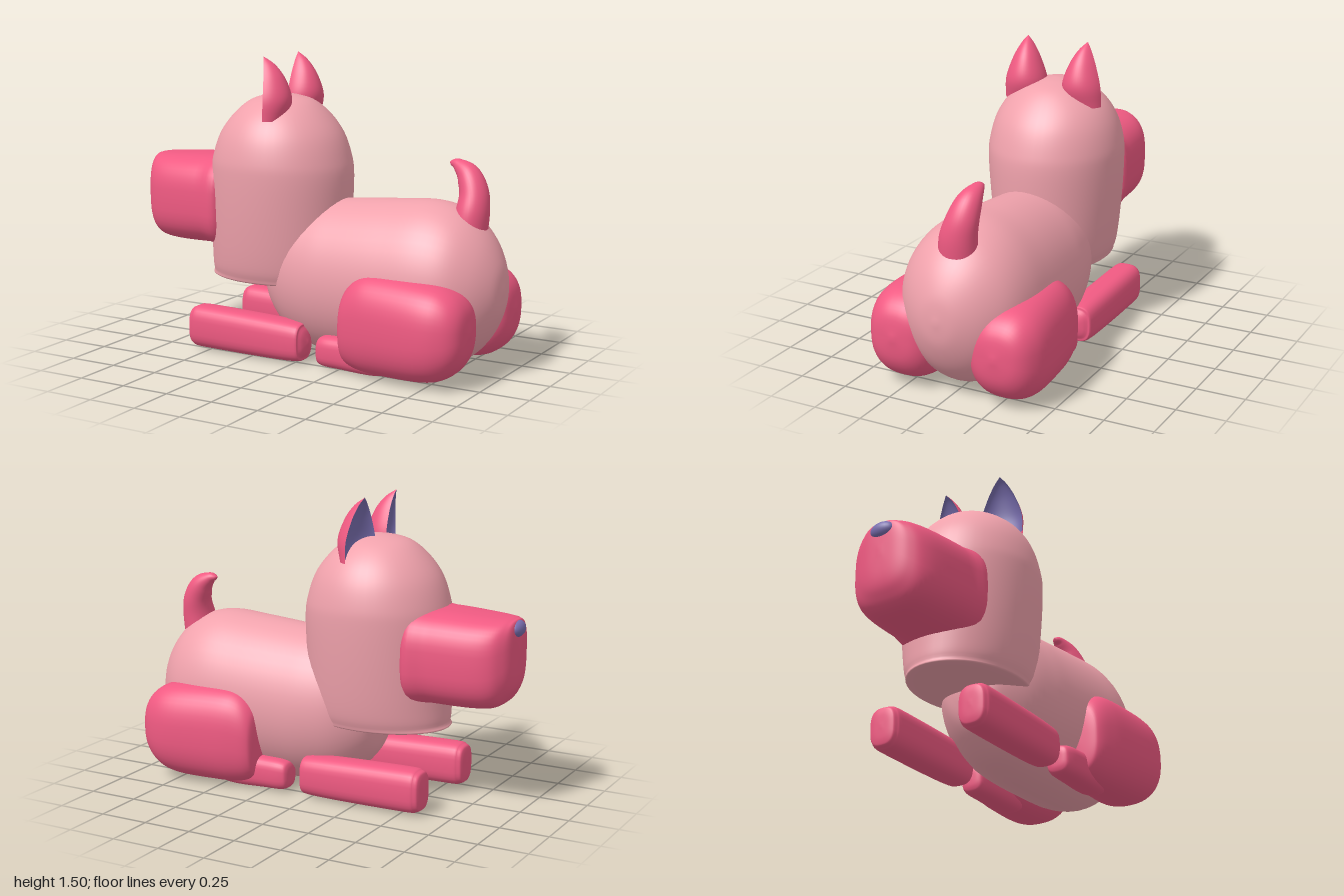
import * as THREE from 'three';
import { mergeVertices } from 'three/addons/utils/BufferGeometryUtils.js';

const material = (color, side = THREE.FrontSide) => new THREE.MeshStandardMaterial({ color, side });
const MID = -0.01; // z of the symmetry plane

// Smooth grid surface: fn(u, v) gives a point, u runs around and v along
function surface(fn, nu, nv) {
  const pos = [], index = [];
  for (let i = 0; i <= nv; i++)
    for (let j = 0; j <= nu; j++) pos.push(...fn(j / nu, i / nv));
  for (let i = 0; i < nv; i++)
    for (let j = 0; j < nu; j++) {
      const a = i * (nu + 1) + j, d = a + nu + 1;
      index.push(a, a + 1, d + 1, a, d + 1, d);
    }
  let g = new THREE.BufferGeometry();
  g.setAttribute('position', new THREE.Float32BufferAttribute(pos, 3));
  g.setIndex(index);
  g = mergeVertices(g, 1e-5);
  g.computeVertexNormals();
  return g;
}

// Curve through cross-section keys [position, centre1, centre2, radius1, radius2]
function sampler(keys) {
  const curve = (f) => new THREE.CatmullRomCurve3(keys.map(f), false, 'catmullrom', 0.5);
  const centre = curve((k) => new THREE.Vector3(k[0], k[1], k[2]));
  const radius = curve((k) => new THREE.Vector3(k[3], k[4], 0));
  return (t) => ({ c: centre.getPoint(t), r: radius.getPoint(t), tangent: centre.getTangent(t) });
}

const bend = (x, n) => Math.sign(x) * Math.abs(x) ** (2 / n);

// Superellipse loft; axis x uses (y, z) sections, axis y uses (z, x) sections
function loft(axis, keys, n = 2, segments = 48) {
  const at = sampler(keys);
  return surface((u, v) => {
    const { c, r } = at(v), a = u * Math.PI * 2;
    const p = c.y + Math.max(0, r.x) * bend(Math.cos(a), n);
    const q = c.z + Math.max(0, r.y) * bend(Math.sin(a), n);
    return axis === 'x' ? [c.x, p, q] : [q, c.x, p];
  }, segments, keys.length * 5);
}

export function createModel() {
  const model = new THREE.Group();
  const coat = material(0xf0a2ac), pink = material(0xf05a82);
  const pinkShell = material(0xf05a82, THREE.DoubleSide);
  const purple = material(0x7a6fb0, THREE.DoubleSide);
  const add = (name, geometry, mat, parent = model) => {
    const mesh = new THREE.Mesh(geometry, mat);
    mesh.name = name;
    parent.add(mesh);
    return mesh;
  };

  // Barrel body
  add('body', loft('x', [
    [-0.27, 0.42, MID, 0, 0], [-0.26, 0.42, MID, 0.12, 0.1], [-0.22, 0.42, MID, 0.23, 0.18],
    [-0.1, 0.42, MID, 0.345, 0.265], [0.05, 0.41, MID, 0.385, 0.305], [0.2, 0.41, MID, 0.4, 0.32],
    [0.45, 0.42, MID, 0.41, 0.335], [0.65, 0.43, MID, 0.41, 0.335], [0.8, 0.43, MID, 0.365, 0.3],
    [0.91, 0.43, MID, 0.265, 0.215], [0.98, 0.43, MID, 0.13, 0.105], [1, 0.43, MID, 0, 0],
  ]), coat);

  // Domed head with a flat underside
  add('head', loft('y', [
    [0.365, MID, -0.25, 0, 0], [0.37, MID, -0.25, 0.24, 0.33], [0.4, MID, -0.245, 0.28, 0.36],
    [0.5, MID, -0.24, 0.305, 0.367], [0.7, MID, -0.235, 0.328, 0.37], [0.9, MID, -0.23, 0.34, 0.37],
    [1.0, MID, -0.23, 0.335, 0.355], [1.11, MID, -0.23, 0.305, 0.315], [1.2, MID, -0.23, 0.25, 0.25],
    [1.27, MID, -0.23, 0.165, 0.17], [1.3, MID, -0.23, 0.08, 0.085], [1.31, MID, -0.23, 0, 0],
  ]), coat);

  // Boxy muzzle and nose
  add('muzzle', loft('x', [
    [-0.982, 0.8, MID, 0, 0], [-0.975, 0.8, MID, 0.14, 0.09], [-0.95, 0.775, MID, 0.185, 0.15],
    [-0.9, 0.75, MID, 0.215, 0.2], [-0.8, 0.745, MID, 0.226, 0.23], [-0.6, 0.75, MID, 0.23, 0.252],
    [-0.47, 0.75, MID, 0.22, 0.25], [-0.42, 0.75, MID, 0, 0],
  ], 2.9), pink);
  const nose = add('nose', new THREE.SphereGeometry(1, 24, 16), purple);
  nose.scale.set(0.035, 0.041, 0.066);
  nose.position.set(-0.965, 0.914, MID);

  // Cupped ears: keys are [height, rim offset, -, half width, depth]
  const earAt = sampler([
    [0, 0, 0, 0.11, 0.09], [0.1, 0.002, 0, 0.106, 0.115], [0.2, -0.004, 0, 0.072, 0.09],
    [0.27, -0.014, 0, 0.034, 0.048], [0.31, -0.025, 0, 0, 0],
  ]);
  const earShell = (depth) => surface((u, v) => {
    const { c, r } = earAt(v), a = u * Math.PI;
    return [c.y + r.y * depth * Math.sin(a), c.x, r.x * Math.cos(a)];
  }, 24, 20);

  for (const s of [1, -1]) {
    const side = s > 0 ? 'Front' : 'Back';
    const ear = new THREE.Group();
    ear.name = `ear${side}`;
    add('earShell', earShell(1), pinkShell, ear);
    add('earInside', earShell(0.4), purple, ear);
    ear.position.set(-0.212, 1.195, MID + s * 0.16);
    ear.rotation.y = s * 0.25;
    model.add(ear);

    // Outstretched forelegs
    const zl = MID + s * 0.25;
    add(`foreleg${side}`, loft('x', [
      [-0.61, 0.12, zl, 0, 0], [-0.605, 0.12, zl, 0.075, 0.055], [-0.585, 0.12, zl, 0.1, 0.075],
      [-0.5, 0.12, zl, 0.108, 0.085], [-0.02, 0.112, zl, 0.1, 0.085],
      [0.045, 0.112, zl, 0.075, 0.06], [0.07, 0.112, zl, 0, 0],
    ], 2.9, 32), pink);

    // Folded hind legs: haunch and foot
    const zh = MID + s * 0.27;
    add(`haunch${side}`, loft('x', [
      [0.29, 0.23, zh, 0, 0], [0.297, 0.23, zh, 0.13, 0.09], [0.32, 0.245, zh, 0.19, 0.125],
      [0.39, 0.262, zh, 0.232, 0.15], [0.5, 0.266, zh, 0.245, 0.17], [0.74, 0.264, zh, 0.24, 0.192],
      [0.86, 0.268, zh, 0.205, 0.17], [0.93, 0.275, zh, 0.125, 0.11], [0.952, 0.28, zh, 0, 0],
    ], 2.5), pink);
    add(`hindFoot${side}`, loft('x', [
      [0.13, 0.088, zl, 0, 0], [0.135, 0.088, zl, 0.05, 0.045], [0.16, 0.088, zl, 0.073, 0.065],
      [0.25, 0.09, zl, 0.08, 0.075], [0.5, 0.09, zl, 0.08, 0.075], [0.6, 0.09, zl, 0, 0],
    ], 2.9, 32), pink);
  }

  // Tail curling forward, leaning slightly to the back
  const tailAt = sampler([
    [0.8, 0.68, -0.025, 0.1, 0.09], [0.818, 0.8, -0.035, 0.093, 0.08], [0.812, 0.89, -0.055, 0.08, 0.07],
    [0.775, 0.965, -0.07, 0.062, 0.058], [0.72, 1.008, -0.08, 0.036, 0.032],
    [0.685, 1.017, -0.083, 0.018, 0.015], [0.67, 1.02, -0.084, 0, 0],
  ]);
  add('tail', surface((u, v) => {
    const { c, r, tangent } = tailAt(v), a = u * Math.PI * 2;
    const len = Math.hypot(tangent.x, tangent.y), q = Math.max(0, r.y) * Math.sin(a) / len;
    return [c.x + q * tangent.y, c.y - q * tangent.x, c.z + Math.max(0, r.x) * Math.cos(a)];
  }, 32, 36), pink);

  return model;
}
